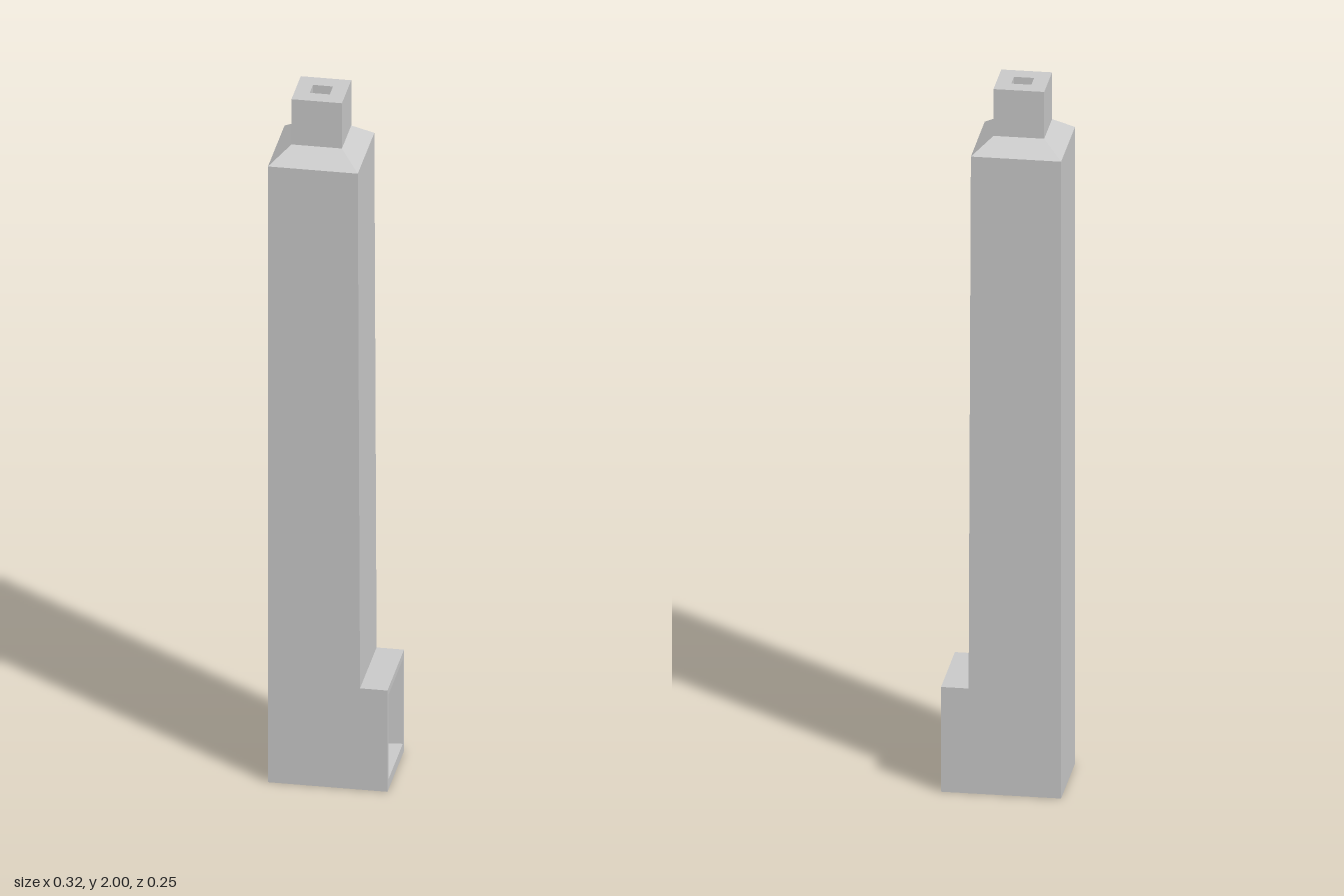
import * as THREE from 'three';

const material = new THREE.MeshStandardMaterial({ color: 0xcccccc, flatShading: true, side: THREE.DoubleSide });

// Plan points are [x, z]; the plan is raised from y0 to y1.
const toPoints = (plan) => plan.map(([x, z]) => new THREE.Vector2(x, -z));
const rect = (x0, x1, z0, z1) => [[x0, z1], [x1, z1], [x1, z0], [x0, z0]];

function raisePlan(name, plan, y0, y1, hole) {
  const shape = new THREE.Shape(toPoints(plan));
  if (hole) shape.holes.push(new THREE.Path(toPoints(hole)));
  const geometry = new THREE.ExtrudeGeometry(shape, { depth: y1 - y0, bevelEnabled: false });
  geometry.rotateX(-Math.PI / 2).translate(0, y0, 0);
  const mesh = new THREE.Mesh(geometry, material);
  mesh.name = name;
  return mesh;
}

// Skin joining successive rectangular rings [y, x0, x1, z0, z1].
function loftRings(name, rings) {
  const positions = [];
  const index = [];
  for (const [y, ...sides] of rings) {
    for (const [x, z] of rect(...sides)) positions.push(x, y, z);
  }
  for (let r = 0; r < rings.length - 1; r++) {
    for (let i = 0; i < 4; i++) {
      const a = r * 4 + i;
      const b = r * 4 + (i + 1) % 4;
      index.push(a, b, b + 4, a, b + 4, a + 4);
    }
  }
  const indexed = new THREE.BufferGeometry();
  indexed.setAttribute('position', new THREE.Float32BufferAttribute(positions, 3));
  indexed.setIndex(index);
  const geometry = indexed.toNonIndexed();
  geometry.computeVertexNormals();
  const mesh = new THREE.Mesh(geometry, material);
  mesh.name = name;
  return mesh;
}

export function createModel() {
  const group = new THREE.Group();
  group.name = 'chimney';

  const base = rect(-0.162, 0.16, -0.124, 0.123);
  const flue = [-0.068, -0.014, -0.028, 0.02];

  // Hearth: floor slab, walls with splayed cheeks open towards +x, and lintel slab
  const walls = [
    [-0.162, 0.123], [0.16, 0.123], [0.16, 0.108], [-0.12, 0.065],
    [-0.12, -0.063], [0.16, -0.106], [0.16, -0.124], [-0.162, -0.124],
  ];
  group.add(raisePlan('hearthFloor', base, 0, 0.03));
  group.add(raisePlan('hearthWalls', walls, 0.03, 0.28));
  group.add(raisePlan('hearthCeiling', base, 0.28, 0.3, rect(...flue)));

  // Stack: slightly tapered shaft, sloped shoulder, square neck and inner flue
  group.add(loftRings('stack', [
    [0.3, -0.162, 0.086, -0.124, 0.123],
    [1.824, -0.162, 0.08, -0.124, 0.123],
    [1.866, -0.109, 0.027, -0.073, 0.066],
    [2, -0.109, 0.027, -0.073, 0.066],
    [2, ...flue],
    [0.3, ...flue],
  ]));

  return group;
}
